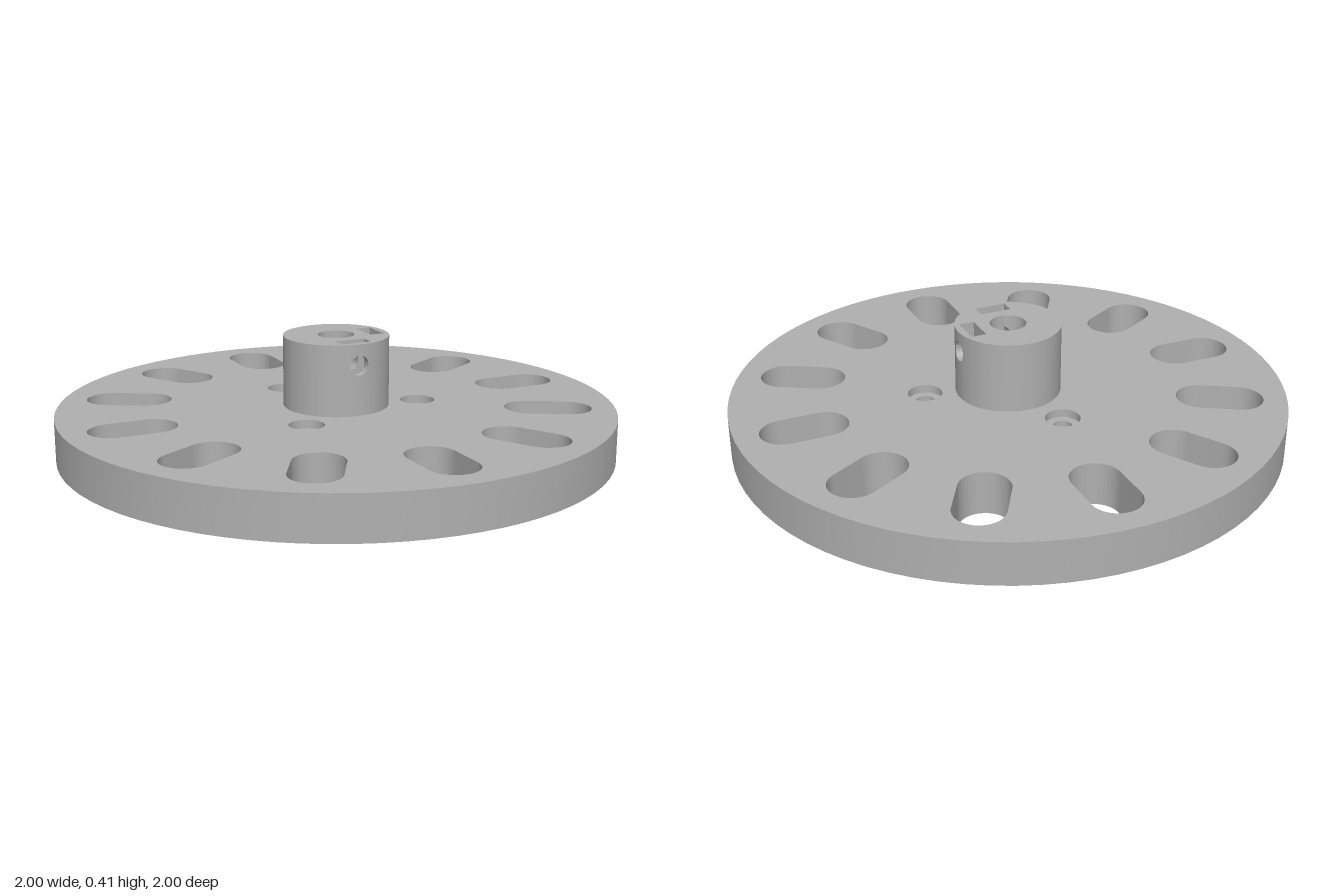
import * as THREE from 'three';
import { toCreasedNormals } from 'three/addons/utils/BufferGeometryUtils.js';

const SEG = 40;
const PLATE_H = 0.155, TOP = 0.41;             // plate top, hub top
const HUB_R = 0.19, BORE_R = 0.065;
const BOLT_R = 0.033, SINK_R = 0.062, SINK_Y = 0.125;
const POCKET = { w: 0.057, z0: 0.108, z1: 0.163, y: 0.27 };
const SCREW_R = 0.035, SCREW_Y = 0.335;

// Collects quads and triangles into one surface
class Skin {
  constructor() { this.pos = []; }
  tri(a, b, c) { this.pos.push(...a, ...b, ...c); }
  quad(a, b, c, d, flip) {
    if (flip) [b, d] = [d, b];
    this.tri(a, b, c);
    this.tri(a, c, d);
  }
  // Upright wall along a counter-clockwise plan path (plan y is -z)
  wall(path, y0, y1, inward) {
    const pts = path.getPoints(SEG);
    for (let i = 0; i + 1 < pts.length; i++) {
      const p = pts[i], q = pts[i + 1];
      this.quad([p.x, y0, -p.y], [q.x, y0, -q.y], [q.x, y1, -q.y], [p.x, y1, -p.y], inward);
    }
  }
  // Level face with holes
  cap(outline, holes, y, down) {
    const shape = new THREE.Shape(outline.getPoints(SEG));
    shape.holes = holes.map((h) => new THREE.Path(h.getPoints(SEG)));
    const g = new THREE.ShapeGeometry(shape), p = g.attributes.position, ix = g.index.array;
    const at = (i) => [p.getX(i), y, -p.getY(i)];
    for (let i = 0; i < ix.length; i += 3) {
      const [a, b, c] = [at(ix[i]), at(ix[i + 1]), at(ix[i + 2])];
      if (down) this.tri(a, c, b); else this.tri(a, b, c);
    }
  }
  mesh(name, material) {
    const g = new THREE.BufferGeometry();
    g.setAttribute('position', new THREE.Float32BufferAttribute(this.pos, 3));
    const m = new THREE.Mesh(toCreasedNormals(g, 0.6), material);
    m.name = name;
    return m;
  }
}

const arc = (r, a0, a1, x = 0, y = 0) => {
  const p = new THREE.Path();
  p.absarc(x, y, r, a0, a1, false);
  return p;
};
const circle = (r, x = 0, y = 0) => arc(r, 0, Math.PI * 2, x, y);

// Radial slot with round ends
function slot(t) {
  const r = 0.0875, c = Math.cos(t), s = Math.sin(t), p = new THREE.Path();
  p.absarc(c * 0.8275, s * 0.8275, r, t - Math.PI / 2, t + Math.PI / 2, false);
  p.absarc(c * 0.6925, s * 0.6925, r, t + Math.PI / 2, t + Math.PI * 1.5, false);
  p.closePath();
  return p;
}

// Wall patch pierced by the screw hole, lying on z = depth(x)
function piercedPatch(skin, place, depth, w, y0, y1, flip) {
  const N = 12, RINGS = 6, edge = [];
  const corners = [[w, y0], [w, y1], [-w, y1], [-w, y0]];
  corners.forEach((a, k) => {
    const b = corners[(k + 1) % 4];
    for (let i = 0; i < N; i++) {
      edge.push([a[0] + (b[0] - a[0]) * i / N, a[1] + (b[1] - a[1]) * i / N]);
    }
  });
  const point = (i, v) => {
    const [x, y] = edge[i % edge.length];
    const t = Math.atan2(y - SCREW_Y, x);
    const cx = SCREW_R * Math.cos(t), cy = SCREW_Y + SCREW_R * Math.sin(t);
    const px = cx + (x - cx) * v;
    return place(px, cy + (y - cy) * v, depth(px));
  };
  for (let i = 0; i < edge.length; i++) {
    for (let j = 0; j < RINGS; j++) {
      const u = j / RINGS, v = (j + 1) / RINGS;
      skin.quad(point(i, u), point(i, v), point(i + 1, v), point(i + 1, u), flip);
    }
  }
}

// Inside of the screw hole between two surfaces
function screwTube(skin, place, inner, outer) {
  const n = 48;
  const at = (i, f) => {
    const t = i / n * Math.PI * 2, x = SCREW_R * Math.cos(t);
    return place(x, SCREW_Y + SCREW_R * Math.sin(t), f(x));
  };
  for (let i = 0; i < n; i++) {
    skin.quad(at(i, inner), at(i, outer), at(i + 1, outer), at(i + 1, inner));
  }
}

export function createModel() {
  const grey = new THREE.MeshStandardMaterial({ color: 0xb0b0b0 });
  grey.name = 'plain grey';
  const group = new THREE.Group();
  group.name = 'slottedWheel';

  // Plate with slots and counterbored bolt holes
  const plate = new Skin();
  const rim = circle(1), bore = circle(BORE_R);
  const slots = Array.from({ length: 12 }, (_, i) => slot(i * Math.PI / 6));
  const boltAt = [0, 1, 2].map((i) => {
    const t = THREE.MathUtils.degToRad(-15 + i * 120);
    return [0.302 * Math.cos(t), 0.302 * Math.sin(t)];
  });
  const bolts = boltAt.map(([x, y]) => circle(BOLT_R, x, y));
  const sinks = boltAt.map(([x, y]) => circle(SINK_R, x, y));
  plate.wall(rim, 0, PLATE_H);
  plate.cap(rim, [...slots, ...bolts, bore], 0, true);
  plate.cap(rim, [...slots, ...sinks, circle(HUB_R)], PLATE_H);
  slots.forEach((s) => plate.wall(s, 0, PLATE_H, true));
  bolts.forEach((b, i) => {
    plate.wall(b, 0, SINK_Y, true);
    plate.wall(sinks[i], SINK_Y, PLATE_H, true);
    plate.cap(sinks[i], [b], SINK_Y);
  });
  group.add(plate.mesh('slottedPlate', grey));

  // Hub with bore, two nut pockets and two set-screw holes
  const hub = new Skin();
  const { w, z0, z1, y: floor } = POCKET;
  const places = [
    (x, y, z) => [x, y, z],      // front side
    (x, y, z) => [z, y, -x],     // left side
  ];
  const onCylinder = (r) => (x) => Math.sqrt(r * r - x * x);
  const flat = (z) => () => z;
  const pockets = places.map((place) => new THREE.Path(
    [[-w, z1], [w, z1], [w, z0], [-w, z0], [-w, z1]].map(([x, z]) => {
      const p = place(x, 0, z);
      return new THREE.Vector2(p[0], -p[2]);
    })));
  hub.cap(circle(HUB_R), [circle(BORE_R), ...pockets], TOP);
  hub.wall(bore, 0, floor, true);

  // Plain wall arcs between the pierced patches
  const plainArcs = (r, half, y0, y1, inward) => {
    const a = Math.asin(half / r);
    hub.wall(arc(r, -Math.PI / 2 + a, -a), y0, y1, inward);
    hub.wall(arc(r, a, Math.PI * 1.5 - a), y0, y1, inward);
  };
  const outerW = 0.06, boreW = 0.044;
  plainArcs(HUB_R, outerW, PLATE_H, TOP, false);
  plainArcs(BORE_R, boreW, floor, TOP, true);

  places.forEach((place, i) => {
    const outer = onCylinder(HUB_R), inner = onCylinder(BORE_R);
    piercedPatch(hub, place, outer, outerW, PLATE_H, TOP, false);
    piercedPatch(hub, place, inner, boreW, floor, TOP, true);
    piercedPatch(hub, place, flat(z1), w, floor, TOP, true);
    piercedPatch(hub, place, flat(z0), w, floor, TOP, false);
    screwTube(hub, place, flat(z1), outer);
    screwTube(hub, place, inner, flat(z0));
    // Pocket floor and side walls
    hub.cap(pockets[i], [], floor);
    for (const s of [-1, 1]) {
      hub.quad(place(s * w, floor, z0), place(s * w, floor, z1),
        place(s * w, TOP, z1), place(s * w, TOP, z0), s < 0);
    }
  });
  group.add(hub.mesh('hub', grey));
  return group;
}
